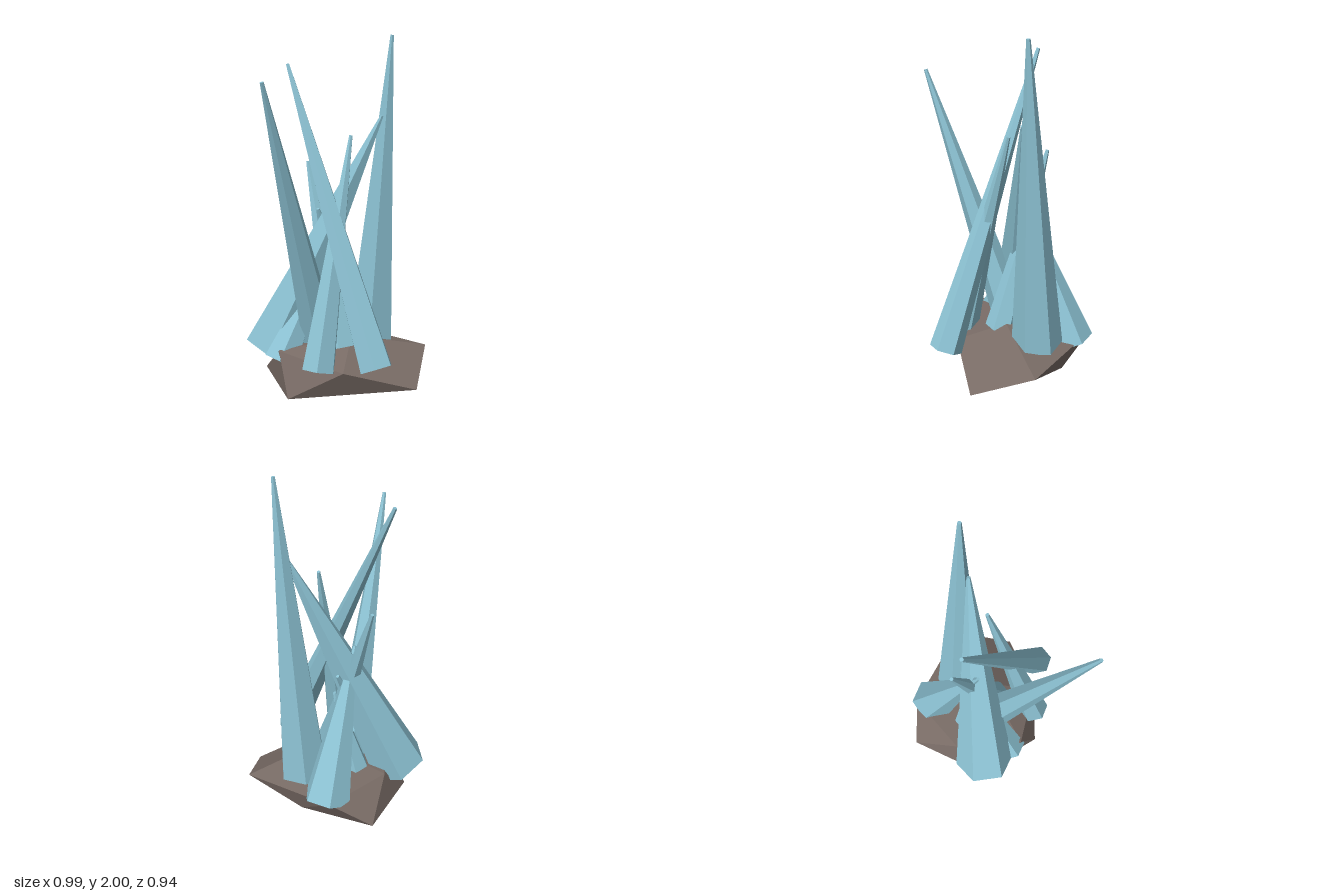
import * as THREE from 'three';

export function createModel() {
  const model = new THREE.Group();
  model.name = 'crystalCluster';

  const stone = new THREE.MeshStandardMaterial({ color: 0x786b65, flatShading: true });
  stone.name = 'stone';
  const crystal = new THREE.MeshStandardMaterial({ color: 0x8cc2d3, flatShading: true });
  crystal.name = 'paleBlueCrystal';

  // Rock: an uneven twenty-sided boulder (bottom, lower ring, upper ring, top)
  const points = [
    0.02, 0, -0.10,
    0.43, 0.16, 0.22, -0.24, 0.115, 0.28, -0.41, 0.16, -0.10, -0.17, 0.18, -0.47, 0.20, 0.175, -0.28,
    0.05, 0.27, 0.31, -0.30, 0.34, 0.17, -0.27, 0.33, -0.22, 0.06, 0.31, -0.43, 0.49, 0.30, -0.12,
    0.08, 0.39, 0.03,
  ];
  const faces = [];
  for (let i = 0; i < 5; i++) {
    const low = 1 + i, lowNext = 1 + (i + 1) % 5;
    const high = 6 + i, highNext = 6 + (i + 1) % 5;
    faces.push(0, lowNext, low); // underside
    faces.push(low, lowNext, high); // side, pointing up
    if (i < 4) {
      faces.push(lowNext, highNext, high); // side, pointing down
      faces.push(11, high, highNext); // top
    }
  }
  // The right front corner slopes straight up to the summit
  faces.push(1, 10, 11, 1, 11, 6);
  // Close the gap between the last lower edge and the right corner
  for (let k = 0; k < faces.length; k += 3) {
    const [a, b, c] = faces.slice(k, k + 3).map((n) => new THREE.Vector3().fromArray(points, n * 3));
    const normal = b.clone().sub(a).cross(c.clone().sub(a));
    const outward = a.clone().add(b).add(c).divideScalar(3).sub(new THREE.Vector3(0.03, 0.22, -0.04));
    if (normal.dot(outward) < 0) [faces[k + 1], faces[k + 2]] = [faces[k + 2], faces[k + 1]];
  }
  const indexed = new THREE.BufferGeometry();
  indexed.setAttribute('position', new THREE.Float32BufferAttribute(points, 3));
  indexed.setIndex(faces);
  const rockGeometry = indexed.toNonIndexed();
  rockGeometry.computeVertexNormals();
  const rock = new THREE.Mesh(rockGeometry, stone);
  rock.name = 'rockBase';
  model.add(rock);

  // Crystals: six-sided tapered spikes from a base centre to a tip
  const up = new THREE.Vector3(0, 1, 0);
  function addSpike(name, base, tip, radius) {
    const from = new THREE.Vector3(...base);
    const axis = new THREE.Vector3(...tip).sub(from);
    const spike = new THREE.Mesh(
      new THREE.CylinderGeometry(0.01, radius, axis.length(), 6), crystal);
    spike.position.copy(from).addScaledVector(axis, 0.5);
    spike.quaternion.setFromUnitVectors(up, axis.normalize());
    spike.name = name;
    model.add(spike);
  }
  addSpike('tallestCrystal', [0.176, 0.33, -0.14], [0.285, 2.0, -0.075], 0.14);
  addSpike('crossingCrystal', [0.22, 0.315, 0.36], [-0.28, 1.855, -0.145], 0.09);
  addSpike('forwardCrystal', [-0.09, 0.33, 0.0], [-0.325, 1.735, 0.46], 0.105);
  addSpike('wideSideCrystal', [-0.365, 0.29, -0.065], [0.235, 1.578, -0.053], 0.172);
  addSpike('frontCrystal', [-0.08, 0.275, 0.285], [0.073, 1.475, 0.015], 0.092);
  addSpike('middleCrystal', [0.02, 0.33, 0.06], [-0.178, 1.325, -0.198], 0.09);
  addSpike('rearCrystal', [0.065, 0.27, -0.33], [-0.11, 1.075, -0.06], 0.135);
  addSpike('lowSideCrystal', [-0.30, 0.26, 0.10], [-0.01, 0.94, -0.14], 0.1);
  addSpike('innerCrystal', [-0.11, 0.33, -0.13], [0.0, 0.8, -0.08], 0.08);

  return model;
}
